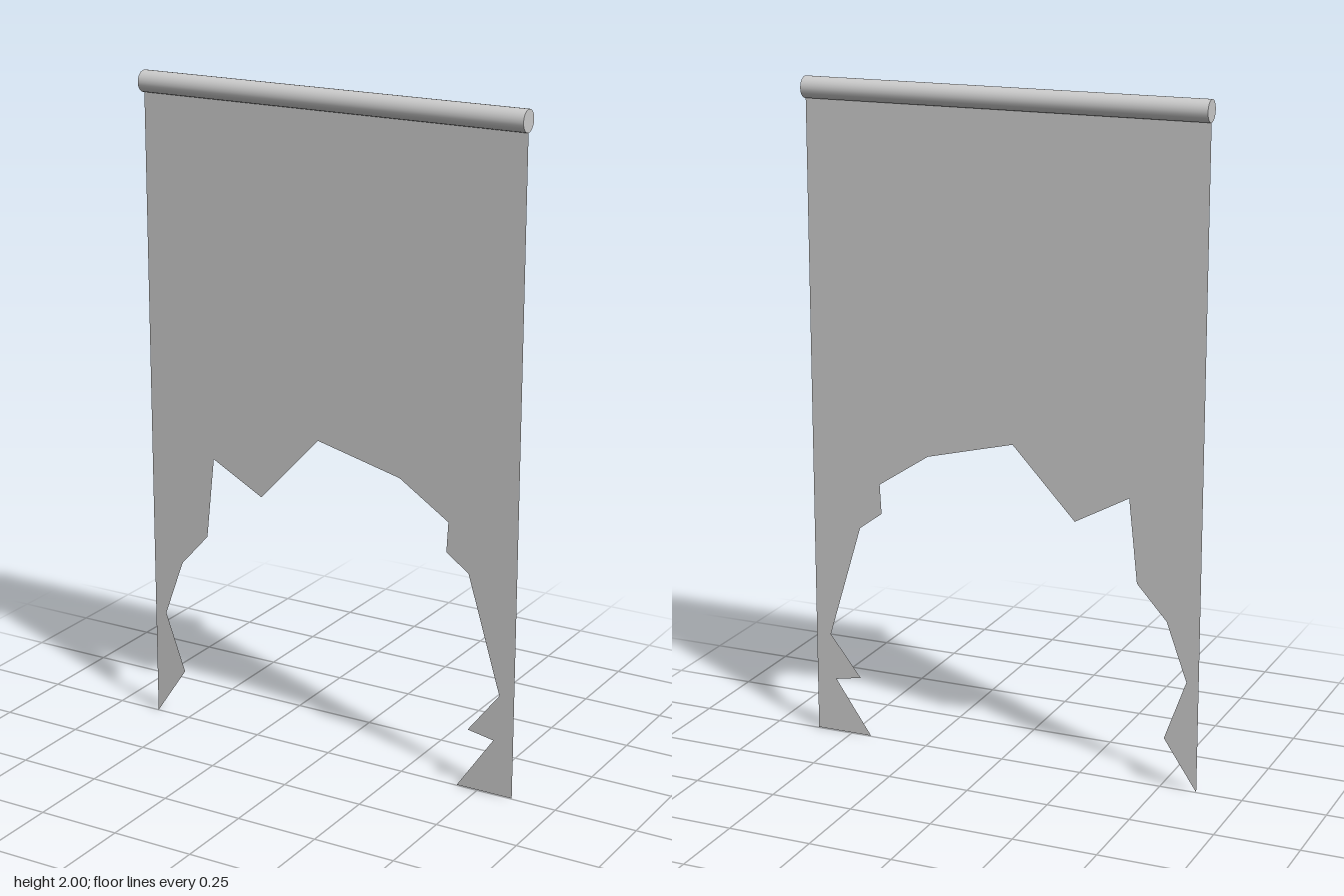
import * as THREE from 'three';

const HALF_WIDTH = 0.612;
const ROD_RADIUS = 0.032;
const ROD_Y = 2 - ROD_RADIUS;

export function createModel() {
  const group = new THREE.Group();
  group.name = 'tornBanner';

  // Horizontal hanging rod
  const rod = new THREE.Mesh(
    new THREE.CylinderGeometry(ROD_RADIUS, ROD_RADIUS, HALF_WIDTH * 2, 24).rotateZ(Math.PI / 2),
    new THREE.MeshStandardMaterial({ color: 0xcccccc })
  );
  rod.name = 'rod';
  rod.position.y = ROD_Y;
  group.add(rod);

  // Ragged lower edge of the cloth, from left to right
  const tear = [
    [-HALF_WIDTH, 0], [-0.51, 0.152], [-0.575, 0.333], [-0.512, 0.508], [-0.42, 0.61],
    [-0.393, 0.86], [-0.228, 0.77], [-0.034, 0.977], [0.235, 0.91], [0.393, 0.806],
    [0.388, 0.716], [0.46, 0.663], [0.565, 0.312], [0.466, 0.185], [0.549, 0.17],
    [0.434, 0.002], [HALF_WIDTH, 0.002],
  ];

  // Thin flat cloth hanging from the rod
  const outline = [...tear, [HALF_WIDTH, ROD_Y], [-HALF_WIDTH, ROD_Y]];
  const cloth = new THREE.Mesh(
    new THREE.ShapeGeometry(new THREE.Shape(outline.map(([x, y]) => new THREE.Vector2(x, y)))),
    new THREE.MeshStandardMaterial({ color: 0xcccccc, side: THREE.DoubleSide })
  );
  cloth.name = 'cloth';
  group.add(cloth);

  return group;
}
